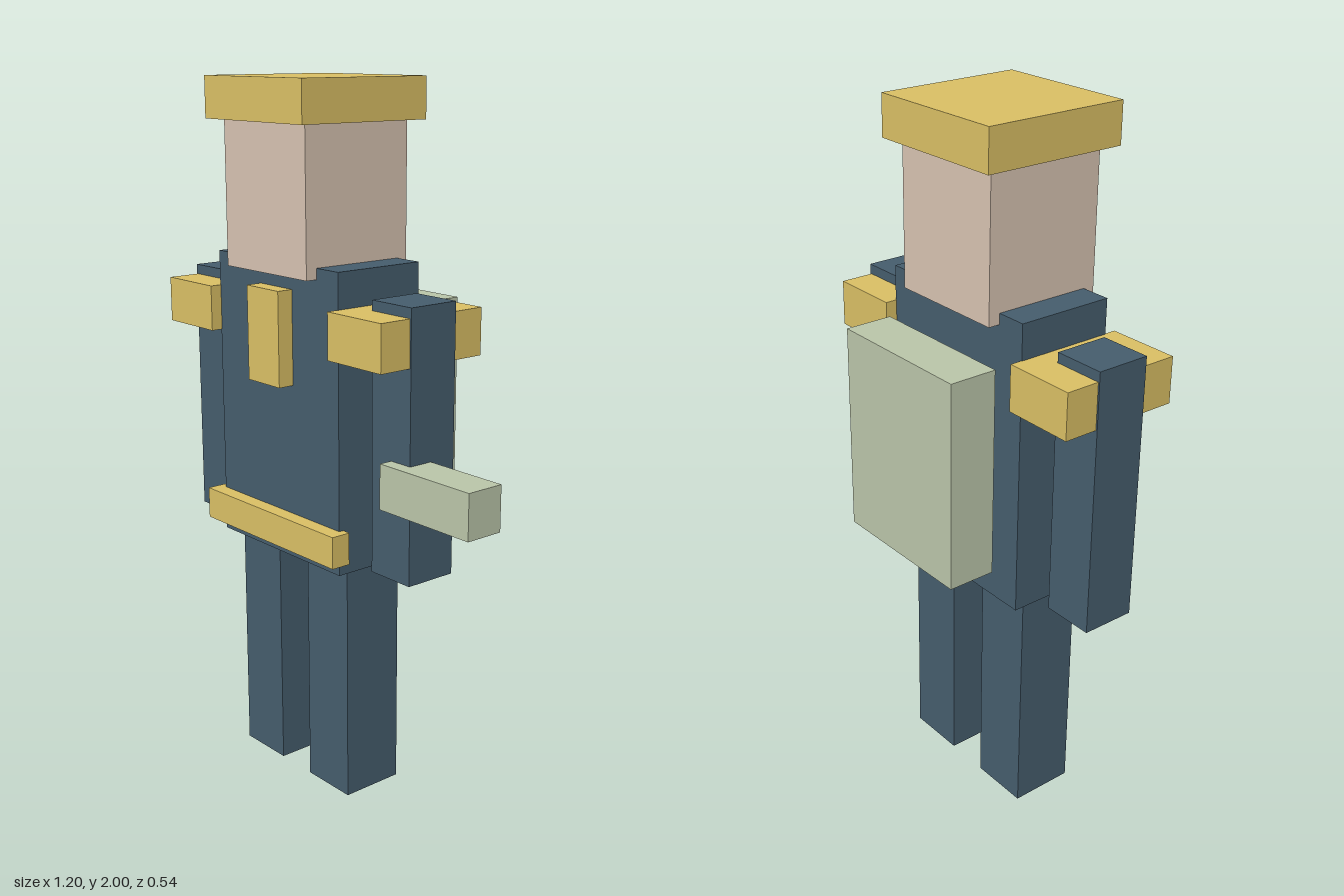
import * as THREE from 'three';

const material = (color) => new THREE.MeshStandardMaterial({ color, flatShading: true });

export function createModel() {
  const model = new THREE.Group();
  model.name = 'blockFigure';

  const navy = material(0x455c6c);
  const gold = material(0xd8be64);
  const skin = material(0xd5c1b0);
  const sage = material(0xb9c4a8);

  // The body's own centre line; the outstretched tool shifts it off the origin.
  const body = new THREE.Group();
  body.name = 'body';
  body.position.set(-0.128, 0, 0.06);
  model.add(body);

  // Box given by centre x, bottom and top y, centre z, width and depth.
  function block(name, mat, x, y0, y1, z, width, depth) {
    const mesh = new THREE.Mesh(new THREE.BoxGeometry(width, y1 - y0, depth), mat);
    mesh.name = name;
    mesh.position.set(x, (y0 + y1) / 2, z);
    body.add(mesh);
  }

  // Torso, head and flat cap
  block('torso', navy, 0, 0.693, 1.52, 0, 0.525, 0.28);
  block('head', skin, 0, 1.49, 1.89, 0, 0.35, 0.347);
  block('cap', gold, 0, 1.887, 2, 0, 0.42, 0.42);

  // Belt and chest plate
  block('beltFront', gold, 0, 0.73, 0.82, 0.155, 0.575, 0.058);
  block('chestPlate', gold, 0, 1.188, 1.451, 0.152, 0.138, 0.07);

  // Limbs and shoulder pads
  for (const [side, s] of [['left', 1], ['right', -1]]) {
    block(side + 'Leg', navy, s * 0.152, 0, 0.693, 0, 0.174, 0.186);
    block(side + 'Arm', navy, s * 0.398, 0.708, 1.45, 0, 0.149, 0.154);
    block(side + 'ShoulderPad', gold, s * 0.364, 1.294, 1.422, 0, 0.208, 0.348);
  }

  // Backpack, held clear of the back
  block('backpack', sage, 0, 0.813, 1.398, -0.259, 0.444, 0.138);

  // Tool pointing sideways from the left arm
  block('tool', sage, 0.563, 0.912, 1.037, 0.06, 0.327, 0.112);

  return model;
}
